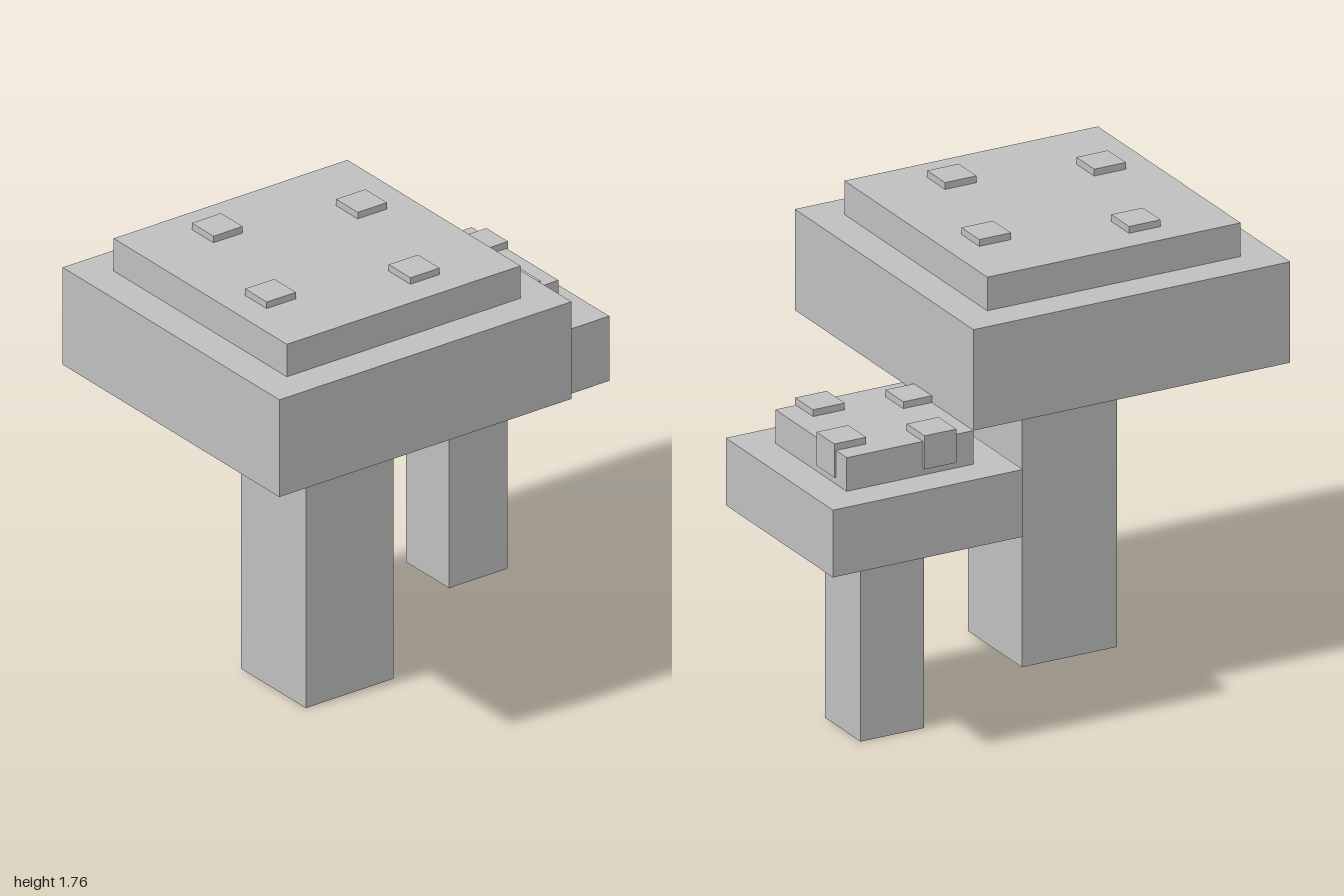
import * as THREE from 'three';

const U = 1 / 15; // block unit

export function createModel() {
  const grey = new THREE.MeshStandardMaterial({ color: 0xbfbfbf });
  grey.name = 'grey';

  // Box given by its centre (x, z), width and bottom/top heights
  function block(parent, name, x, z, width, bottom, top) {
    const mesh = new THREE.Mesh(new THREE.BoxGeometry(width, top - bottom, width), grey);
    mesh.name = name;
    mesh.position.set(x, (bottom + top) / 2, z);
    parent.add(mesh);
  }

  // Stem, wide cap, narrower crown and small spots set into the crown
  function mushroom(name, x, z, stem, cap, crown, heights, spots) {
    const group = new THREE.Group();
    group.name = name;
    const [stemTop, capTop, crownTop] = heights.map((h) => h * U);
    block(group, 'stem', x, z, stem * U, 0, stemTop);
    block(group, 'cap', x, z, cap * U, stemTop, capTop);
    block(group, 'crown', x, z, crown * U, capTop, crownTop);
    const spotTop = crownTop + 0.027;
    for (const [sx, sz] of spots) block(group, 'spot', sx, sz, 2 * U, spotTop - 2 * U, spotTop);
    return group;
  }

  const model = new THREE.Group();
  model.name = 'mushrooms';
  model.add(
    mushroom('largeMushroom', -5 * U, U, 6, 20, 16, [18, 24, 26],
      [[-0.527, -0.287], [0.013, -0.127], [-0.687, 0.257], [-0.147, 0.413]]),
    mushroom('smallMushroom', 9 * U, -5 * U, 4, 12, 8, [12, 16, 18],
      [[0.48, -0.547], [0.807, -0.453], [0.713, -0.127], [0.387, -0.223]]),
  );
  return model;
}
